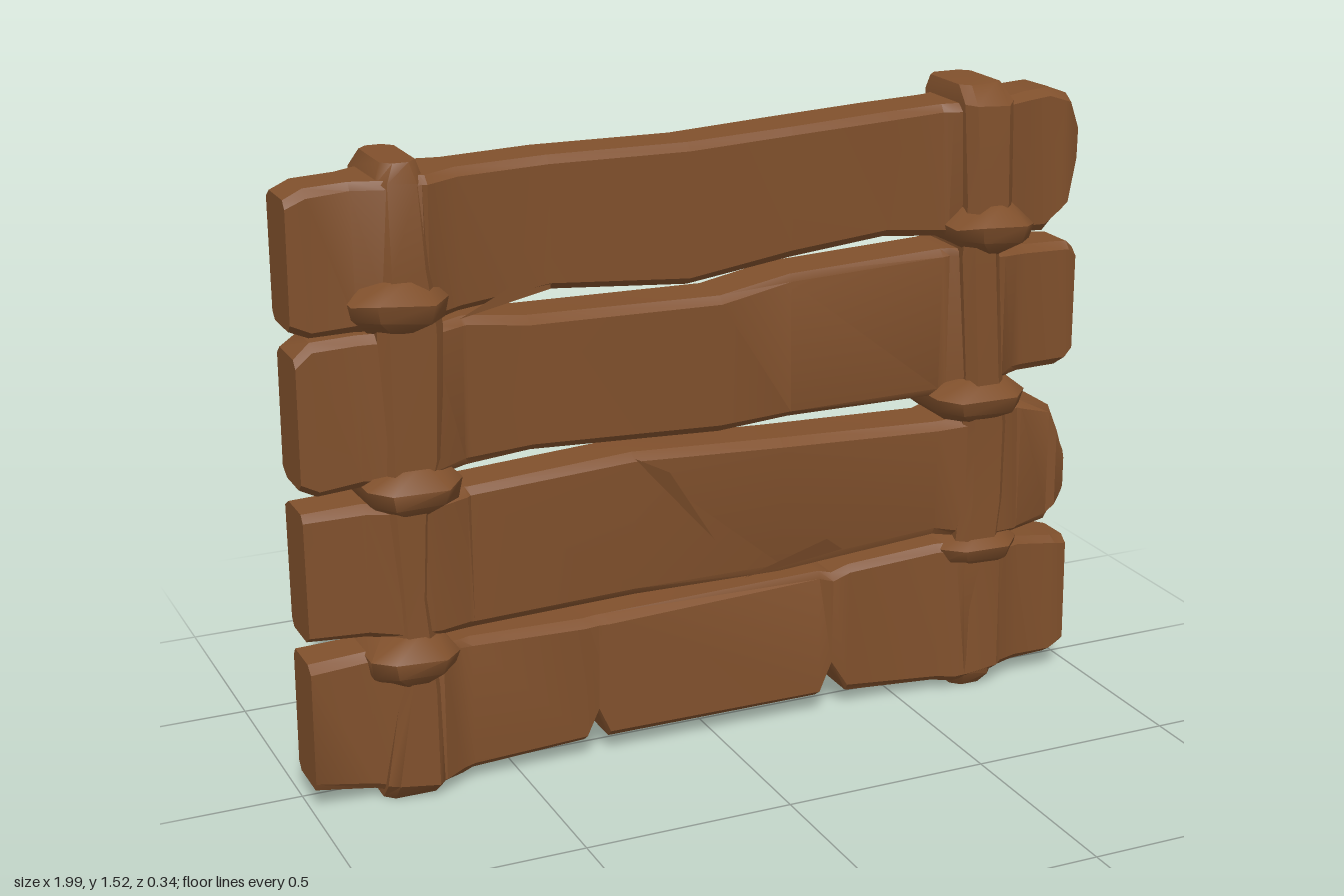
import * as THREE from 'three';
import { toCreasedNormals } from 'three/addons/utils/BufferGeometryUtils.js';

// Small repeatable wobble for a hand-hewn look
const wobble = (n) => { const s = Math.sin(n * 12.9898) * 43758.5453; return (s - Math.floor(s)) * 2 - 1; };

// Chamfered rectangle, counter-clockwise
const section = (u0, u1, v0, v1, c) => [
  [u1, v0 + c], [u1, v1 - c], [u1 - c, v1], [u0 + c, v1],
  [u0, v1 - c], [u0, v0 + c], [u0 + c, v0], [u1 - c, v0]];

// Skin a list of 8-point rings and cap both ends
function loft(rings, crease) {
  const n = 8, pos = [], idx = [];
  rings.forEach(r => r.forEach(p => pos.push(...p)));
  for (let i = 0; i < rings.length - 1; i++) {
    for (let j = 0; j < n; j++) {
      const a = i * n + j, b = i * n + (j + 1) % n;
      idx.push(a, b, b + n, a, b + n, a + n);
    }
  }
  const e = (rings.length - 1) * n;
  for (let j = 1; j < n - 1; j++) idx.push(0, j + 1, j, e, e + j, e + j + 1);
  const g = new THREE.BufferGeometry();
  g.setAttribute('position', new THREE.Float32BufferAttribute(pos, 3));
  g.setIndex(idx);
  return toCreasedNormals(g, crease);
}

// Piecewise linear lookup of column k in rows sorted by column 0
function lookup(rows, x, k) {
  let i = 1;
  while (i < rows.length - 1 && rows[i][0] < x) i++;
  const a = rows[i - 1], b = rows[i];
  return THREE.MathUtils.lerp(a[k], b[k], (x - a[0]) / (b[0] - a[0]));
}

// Planks: z centre at the right-hand end, then rows of x, bottom, top
const planks = [
  { z: 0.025, rows: [[-0.99, 0.06, 0.365], [-0.75, 0.02, 0.38], [-0.64, 0.035, 0.37], [-0.33, 0.05, 0.36],
    [-0.295, 0.11, 0.36], [-0.27, 0.05, 0.36], [0.28, 0.05, 0.38], [0.315, 0.12, 0.37], [0.36, 0.05, 0.385],
    [0.65, 0.03, 0.4], [0.78, 0.05, 0.39], [0.93, 0.05, 0.37], [0.975, 0.07, 0.36]] },
  { z: 0, rows: [[-0.99, 0.42, 0.725], [-0.6, 0.39, 0.73], [-0.2, 0.4, 0.75], [0.18, 0.395, 0.73],
    [0.6, 0.42, 0.71], [0.82, 0.39, 0.74], [0.92, 0.41, 0.71], [0.975, 0.47, 0.58]] },
  { z: -0.01, rows: [[-0.99, 0.78, 1.08], [-0.95, 0.76, 1.11], [-0.6, 0.785, 1.13], [-0.45, 0.795, 1.11],
    [0.02, 0.77, 1.1], [0.2, 0.78, 1.13], [0.62, 0.78, 1.145], [0.8, 0.81, 1.13], [0.96, 0.81, 1.12], [0.985, 0.83, 1.1]] },
  { z: -0.03, rows: [[-0.995, 1.14, 1.43], [-0.95, 1.12, 1.45], [-0.7, 1.13, 1.46], [-0.4, 1.165, 1.47],
    [-0.06, 1.135, 1.465], [0.2, 1.17, 1.475], [0.45, 1.19, 1.485], [0.62, 1.17, 1.49], [0.9, 1.15, 1.5],
    [0.96, 1.2, 1.48], [0.995, 1.3, 1.41]] }];

// Half thickness along a plank, swelling under the bindings
const thickness = [[-1, 0.068], [-0.85, 0.068], [-0.78, 0.1], [-0.69, 0.1], [-0.61, 0.068],
  [0.6, 0.075], [0.68, 0.1], [0.76, 0.1], [0.83, 0.075], [0.94, 0.07], [1, 0.055]];

function plankGeometry({ z, rows }, seed) {
  const last = rows[rows.length - 1][0];
  const xs = [...rows.map(r => r[0]), ...thickness.map(r => r[0]).filter(x => x > -0.98 && x < last - 0.02)];
  xs.sort((a, b) => a - b);
  const unique = xs.filter((x, i) => i === 0 || x - xs[i - 1] > 0.004);
  return loft(unique.map((x, i) => {
    const h = lookup(thickness, x, 1);
    const zc = x < 0 ? 0.025 + (x + 1) * -0.015 : THREE.MathUtils.lerp(0.01, z, x);
    return section(lookup(rows, x, 1), lookup(rows, x, 2), zc - h, zc + h, 0.018)
      .map(([y, zz], j) => [x, y, zz + 0.007 * wobble(seed * 97 + i * 8 + j)]);
  }), 0.5);
}

// Upright bindings: rows of y, x min, x max, z back, z front
const straps = {
  left: [[0.01, -0.83, -0.69, -0.06, 0.1], [0.05, -0.83, -0.69, -0.1, 0.14], [0.28, -0.79, -0.69, -0.1, 0.135],
    [0.5, -0.8, -0.71, -0.1, 0.13], [0.7, -0.81, -0.7, -0.105, 0.13], [0.82, -0.81, -0.67, -0.1, 0.13],
    [1.12, -0.81, -0.66, -0.11, 0.13], [1.25, -0.8, -0.68, -0.11, 0.13], [1.45, -0.8, -0.69, -0.11, 0.12],
    [1.49, -0.78, -0.7, -0.09, 0.1]],
  right: [[0.01, 0.66, 0.75, -0.05, 0.09], [0.05, 0.65, 0.76, -0.1, 0.12], [0.33, 0.64, 0.76, -0.11, 0.12],
    [0.5, 0.66, 0.78, -0.12, 0.115], [0.7, 0.66, 0.78, -0.12, 0.115], [0.83, 0.66, 0.76, -0.12, 0.12],
    [1.13, 0.64, 0.74, -0.12, 0.12], [1.25, 0.65, 0.77, -0.13, 0.12], [1.49, 0.64, 0.77, -0.125, 0.11],
    [1.53, 0.65, 0.76, -0.12, 0.06]] };

// Knots in the gaps: y bottom, y top, x min, x max, z back, z front
const knots = {
  left: [[0.285, 0.42, -0.86, -0.65, -0.13, 0.17], [0.69, 0.82, -0.85, -0.63, -0.13, 0.165], [1.115, 1.24, -0.87, -0.65, -0.13, 0.17]],
  right: [[0.32, 0.43, 0.61, 0.82, -0.16, 0.14], [0.71, 0.82, 0.58, 0.82, -0.165, 0.15], [1.13, 1.25, 0.61, 0.82, -0.155, 0.165]] };

const uprightLoft = (rows, c, crease, seed) => loft(rows.map(([y, x0, x1, z0, z1], i) =>
  section(z0, z1, x0, x1, c).map(([z, x], j) =>
    [x, y + (i > 0 && i < rows.length - 1 ? 0.008 * wobble(seed * 31 + i * 8 + j) : 0), z])), crease);

function knotGeometry([y0, y1, x0, x1, z0, z1], seed) {
  const rows = [[0, 0.05], [0.3, 0.008], [0.62, 0], [1, 0.045]].map(([t, inset]) =>
    [y0 + (y1 - y0) * t, x0 + inset, x1 - inset, z0 + inset, z1 - inset]);
  return uprightLoft(rows, 0.045, 0.9, seed);
}

// Split slivers lifting off the front: three corners in x, y, z
const splinters = [
  [[-0.2, 0.74, 0.083], [0, 0.51, 0.085], [-0.12, 0.7, 0.1]],
  [[0.08, 0.4, 0.085], [0.34, 0.43, 0.085], [0.29, 0.47, 0.1]],
  [[-0.62, 1.13, 0.1], [-0.4, 1.17, 0.086], [-0.4, 1.23, 0.086]]];

export function createModel() {
  const model = new THREE.Group();
  model.name = 'fenceSection';
  const wood = new THREE.MeshStandardMaterial({ color: 0x80502c });
  wood.name = 'brownWood';
  const splitWood = wood.clone();
  splitWood.side = THREE.DoubleSide;
  const add = (geometry, name, material = wood) => {
    const mesh = new THREE.Mesh(geometry, material);
    mesh.name = name;
    model.add(mesh);
  };

  planks.forEach((p, i) => add(plankGeometry(p, i + 1), `plank${i + 1}`));
  ['left', 'right'].forEach((side, s) => {
    // The left-of-picture binding sits at -x, the model's own right
    const own = side === 'left' ? 'right' : 'left';
    add(uprightLoft(straps[side], 0.022, 0.7, s + 3), `${own}Binding`);
    knots[side].forEach((k, i) => add(knotGeometry(k, s * 5 + i + 1), `${own}Knot${i + 1}`));
  });
  splinters.forEach((corners, i) => {
    const g = new THREE.BufferGeometry().setFromPoints(corners.map(c => new THREE.Vector3(...c)));
    g.computeVertexNormals();
    add(g, `splinter${i + 1}`, splitWood);
  });
  return model;
}
